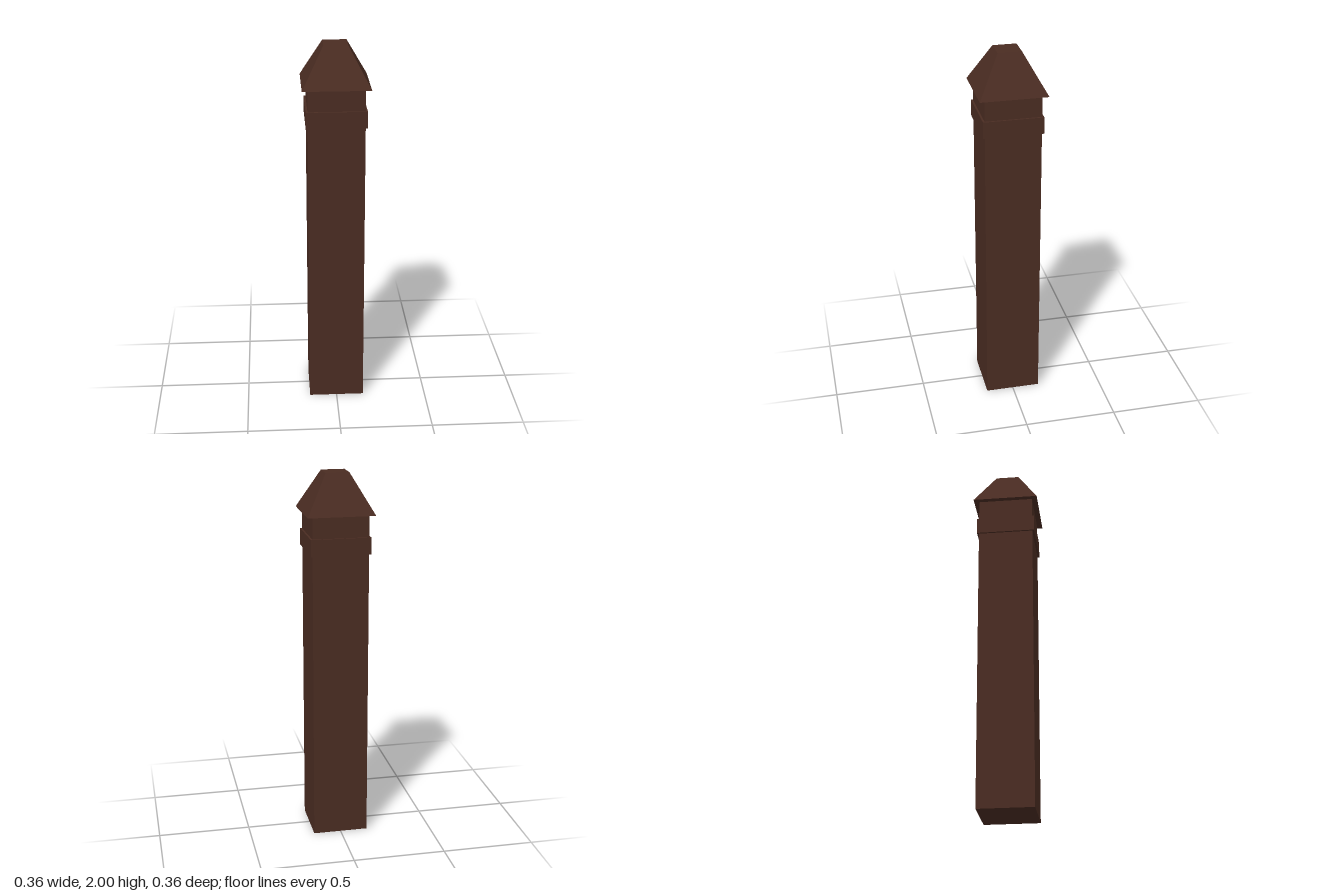
import * as THREE from 'three';

export function createModel() {
  const group = new THREE.Group();
  const darkWood = new THREE.MeshStandardMaterial({ color: 0x4a2c22, flatShading: true });
  darkWood.name = 'darkWood';

  // Square section from y0 to y1, with its half-widths at the bottom and top
  const addSection = (name, y0, y1, bottom, top = bottom) => {
    const geometry = new THREE.CylinderGeometry(
      top * Math.SQRT2, bottom * Math.SQRT2, y1 - y0, 4, 1, false, Math.PI / 4);
    const mesh = new THREE.Mesh(geometry, darkWood);
    mesh.name = name;
    mesh.position.y = (y0 + y1) / 2;
    group.add(mesh);
  };

  addSection('post', 0, 1.79, 0.15);
  addSection('collarBand', 1.584, 1.674, 0.16);
  addSection('taperedCap', 1.79, 2, 0.179, 0.063);

  return group;
}
